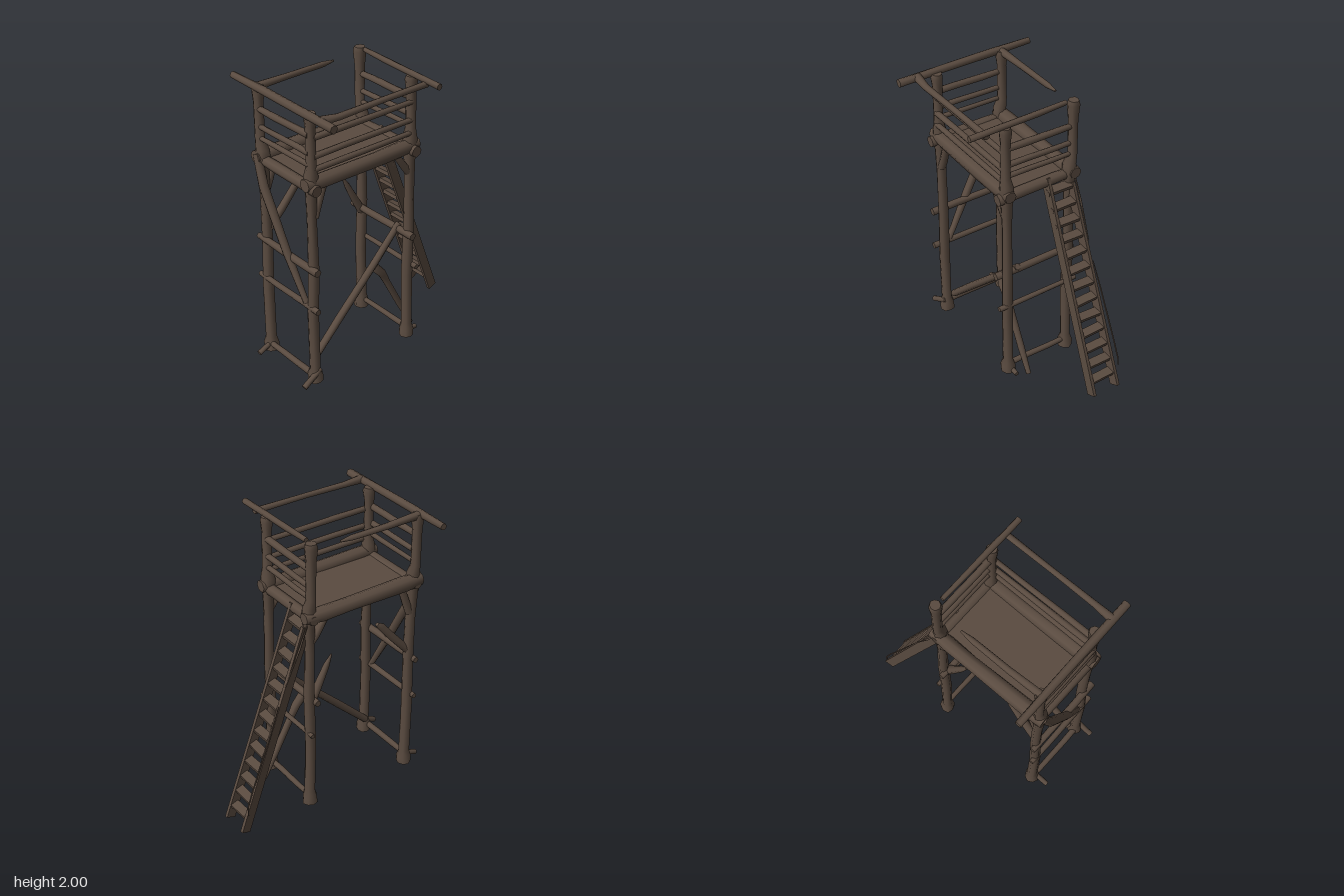
import * as THREE from 'three';

export function createModel() {
  const model = new THREE.Group();
  const wood = new THREE.MeshStandardMaterial({ color: 0x5a4b40 });
  wood.name = 'weatheredWood';

  let seed = 7;
  const rand = () => ((seed = (seed * 16807) % 2147483647) / 2147483647) - 0.5;

  const add = (name, geo, parent = model) => {
    const mesh = new THREE.Mesh(geo, wood);
    mesh.name = name;
    parent.add(mesh);
    return mesh;
  };

  const group = (name) => {
    const g = new THREE.Group();
    g.name = name;
    model.add(g);
    return g;
  };

  // Rough log swept through points [x, y, z, radius]
  function log(name, pts, parent = model, rough = 0.14) {
    const sides = 8, pos = [], idx = [];
    const P = pts.map((p) => new THREE.Vector3(p[0], p[1], p[2]));
    const d = P[P.length - 1].clone().sub(P[0]).normalize();
    const ref = Math.abs(d.y) > 0.8 ? new THREE.Vector3(0, 0, 1) : new THREE.Vector3(0, 1, 0);
    const u = d.clone().cross(ref).normalize(), v = d.clone().cross(u);
    const vertex = (c, a, r) => {
      const q = c.clone().addScaledVector(u, Math.cos(a) * r).addScaledVector(v, Math.sin(a) * r);
      pos.push(q.x, q.y, q.z);
    };
    P.forEach((c, i) => {
      for (let j = 0; j < sides; j++) vertex(c, (j / sides) * Math.PI * 2, pts[i][3] * (1 + rand() * rough));
    });
    for (let i = 0; i < P.length - 1; i++) {
      for (let j = 0; j < sides; j++) {
        const a = i * sides + j, b = i * sides + (j + 1) % sides;
        idx.push(a, b, a + sides, b, b + sides, a + sides);
      }
    }
    // End caps with their own vertices
    [0, P.length - 1].forEach((ring) => {
      const base = pos.length / 3;
      pos.push(P[ring].x, P[ring].y, P[ring].z);
      for (let j = 0; j < sides; j++) {
        const k = (ring * sides + j) * 3;
        pos.push(pos[k], pos[k + 1], pos[k + 2]);
      }
      for (let j = 0; j < sides; j++) {
        const a = base + 1 + j, b = base + 1 + (j + 1) % sides;
        if (ring) idx.push(base, a, b);
        else idx.push(base, b, a);
      }
    });
    const geo = new THREE.BufferGeometry();
    geo.setAttribute('position', new THREE.Float32BufferAttribute(pos, 3));
    geo.setIndex(idx);
    geo.computeVertexNormals();
    return add(name, geo, parent);
  }

  // Straight log with a thicker, slightly bowed middle
  function pole(name, a, b, r, parent, endR = r * 0.85) {
    const at = (t, rad) => [0, 1, 2].map((k) => a[k] + (b[k] - a[k]) * t + rand() * r * 0.2).concat(rad);
    return log(name, [a.concat(r), at(0.3, r), at(0.7, r * 0.95), b.concat(endR)], parent);
  }

  // Rectangular board between two points
  function board(name, a, b, width, depth, parent) {
    const A = new THREE.Vector3(...a), B = new THREE.Vector3(...b);
    const mesh = add(name, new THREE.BoxGeometry(width, A.distanceTo(B), depth), parent);
    mesh.position.copy(A).add(B).multiplyScalar(0.5);
    mesh.quaternion.setFromUnitVectors(new THREE.Vector3(0, 1, 0), B.sub(A).normalize());
    return mesh;
  }

  // Four corner posts with flared feet and knots at the platform
  const posts = group('posts');
  const post = (name, x, z, topX, topZ, top) => log(name, [
    [x, 0.01, z, 0.052], [x, 0.06, z, 0.05], [x, 0.11, z, 0.036], [x - 0.005, 0.5, z, 0.037],
    [x + 0.005, 0.87, z, 0.036], [x, 1.2, z, 0.033], [topX, 1.4, z, 0.038], [topX, 1.46, z, 0.05],
    [topX, 1.53, z, 0.045], [topX, 1.6, topZ, 0.033], [topX, 1.85, topZ, 0.033],
    [topX, top - 0.03, topZ, 0.042], [topX, top, topZ, 0.035]], posts);
  post('frontRightPost', -0.625, 0.23, -0.625, 0.235, 1.95);
  post('backRightPost', -0.625, -0.245, -0.635, -0.265, 1.96);
  post('frontLeftPost', 0.175, 0.23, 0.175, 0.235, 1.96);
  post('backLeftPost', 0.175, -0.245, 0.18, -0.265, 1.99);

  // Platform floor and rim beams
  const platform = group('platform');
  const floor = add('floor', new THREE.BoxGeometry(0.8, 0.035, 0.46), platform);
  floor.position.set(-0.225, 1.455, -0.01);
  [['frontBeam', 0.235], ['backBeam', -0.26]].forEach(([name, z]) => log(name, [
    [-0.68, 1.48, z, 0.045], [-0.55, 1.475, z, 0.052], [-0.1, 1.47, z, 0.048],
    [0.1, 1.47, z, 0.05], [0.23, 1.475, z, 0.04]], platform));
  [['rightBeam', -0.635], ['leftBeam', 0.175]].forEach(([name, x]) =>
    pole(name, [x, 1.45, 0.3], [x, 1.46, -0.3], 0.038, platform));

  // Guard rails on three sides
  const rails = group('guardRails');
  [[1.57, 0.02], [1.66, 0.021], [1.785, 0.021]].forEach(([y, r]) =>
    pole('frontRail', [-0.62, y + 0.005, 0.25], [0.18, y, 0.25], r, rails));
  [-0.64, 0.18].forEach((x) => {
    [[1.61, 0.018], [1.69, 0.02], [1.81, 0.024]].forEach(([y, r]) =>
      pole('sideRail', [x, y, 0.24], [x, y - 0.005, -0.26], r, rails));
  });

  // Overhanging top poles, front purlin and broken back pole
  const roof = group('topPoles');
  pole('rightTopPole', [-0.655, 1.945, 0.495], [-0.655, 1.955, -0.495], 0.028, roof, 0.023);
  pole('leftTopPole', [0.175, 1.965, 0.49], [0.175, 1.985, -0.21], 0.021, roof, 0.016);
  log('frontPurlin', [[-0.65, 1.95, 0.36, 0.03], [-0.52, 1.94, 0.37, 0.022], [-0.2, 1.945, 0.37, 0.019],
    [0.18, 1.945, 0.37, 0.022]], roof);
  log('brokenBackPole', [[-0.66, 1.95, -0.27, 0.027], [-0.4, 1.945, -0.275, 0.022],
    [-0.12, 1.945, -0.275, 0.019], [-0.03, 1.945, -0.275, 0.007]], roof);

  // Cross bars tying front and back legs
  const bars = group('crossBars');
  [[-0.645, 0.875, 0.025], [-0.645, 0.585, 0.021], [-0.64, 0.06, 0.022],
    [0.15, 0.83, 0.025], [0.19, 0.585, 0.018], [0.18, 0.065, 0.02]].forEach(([x, y, r]) => {
    const end = y < 0.1 ? 0.24 : 0.305;
    pole('crossBar', [x, y, end], [x, y + 0.005, -end], r, bars);
  });

  // Diagonal braces, whole and broken
  const braces = group('braces');
  pole('longBrace', [-0.6, 0.13, 0.18], [0.17, 0.86, 0.145], 0.026, braces);
  log('sideBrace', [[-0.665, 1.5, -0.26, 0.028], [-0.675, 1.3, -0.19, 0.031],
    [-0.665, 0.9, 0.02, 0.028], [-0.645, 0.6, 0.18, 0.02]], braces);
  log('brokenBackBrace', [[-0.61, 0.95, -0.24, 0.028], [-0.5, 1.07, -0.235, 0.027],
    [-0.4, 1.19, -0.23, 0.024], [-0.365, 1.22, -0.23, 0.014]], braces);
  log('splinteredBrace', [[0.16, 0.8, -0.23, 0.03], [0.1, 0.91, -0.225, 0.027],
    [0.03, 1.04, -0.22, 0.02], [-0.01, 1.115, -0.22, 0.006]], braces);
  log('leaningBrace', [[-0.045, 0.66, 0.14, 0.014], [-0.03, 0.59, 0.14, 0.032], [0.03, 0.52, 0.14, 0.03],
    [0.07, 0.44, 0.14, 0.024], [0.2, 0.19, 0.14, 0.024], [0.295, 0.015, 0.14, 0.018]], braces);
  [0.235, -0.25].forEach((z) => {
    pole('kneeBrace', [-0.61, 1.24, z], [-0.53, 1.45, z], 0.028, braces);
    pole('kneeBrace', [0.17, 1.28, z], [0.06, 1.43, z], 0.026, braces);
  });
  pole('footStub', [-0.745, 0.02, 0.265], [-0.6, 0.1, 0.255], 0.02, braces);
  pole('footStub', [-0.745, 0.025, -0.225], [-0.6, 0.08, -0.235], 0.018, braces);
  pole('footStub', [0.15, 0.035, 0.22], [0.27, 0.03, 0.22], 0.018, braces);

  // Leaning ladder with stepped treads
  const ladder = group('ladder');
  board('ladderRail', [0.17, 1.48, -0.068], [0.712, 0.02, -0.09], 0.07, 0.022, ladder);
  board('ladderRail', [0.2, 1.4, -0.24], [0.712, 0.02, -0.28], 0.07, 0.022, ladder);
  for (let i = 0; i < 13; i++) {
    const t = i / 12, y = 0.12 + t * 1.27;
    const tread = add('ladderTread', new THREE.BoxGeometry(0.06, 0.026, 0.19), ladder);
    tread.position.set(0.712 - (y - 0.02) * 0.371, y, -0.185 + t * 0.033);
    tread.rotation.set(rand() * 0.06, rand() * 0.06, -0.25);
  }

  // Thin loose splinters along the ladder's outer edge
  const splinters = group('splinters');
  log('splinter', [[0.21, 1.43, -0.27, 0.005], [0.27, 1.28, -0.275, 0.007], [0.375, 1.03, -0.27, 0.003]], splinters);
  log('splinter', [[0.43, 0.9, -0.27, 0.003], [0.51, 0.7, -0.285, 0.005], [0.66, 0.34, -0.3, 0.005],
    [0.7, 0.23, -0.305, 0.005], [0.7, 0.17, -0.31, 0.003]], splinters);

  return model;
}
